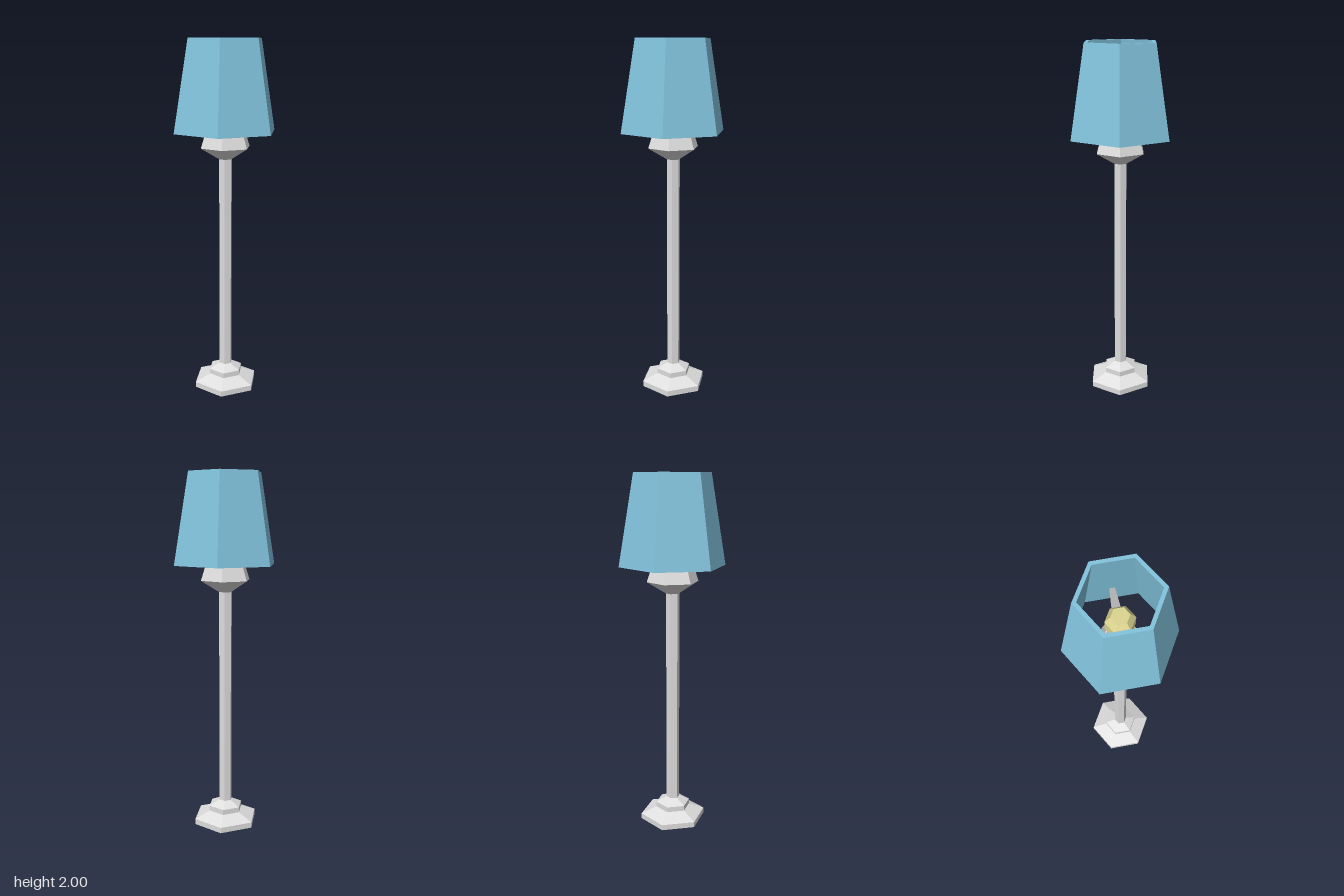
import * as THREE from 'three';

const SIDES = 6;

function material(name, color) {
  const m = new THREE.MeshStandardMaterial({ color });
  m.name = name;
  return m;
}

// Faceted six-sided solid from a [radius, height] profile, with corners on the x axis
function hexLathe(name, profile, mat) {
  const points = profile.map(([r, y]) => new THREE.Vector2(r, y));
  const geometry = new THREE.LatheGeometry(points, SIDES, Math.PI / 2).toNonIndexed();
  geometry.computeVertexNormals();
  const mesh = new THREE.Mesh(geometry, mat);
  mesh.name = name;
  return mesh;
}

export function createModel() {
  const metal = material('light grey metal', 0xdedede);
  const strutMetal = material('grey strut', 0xb2b2b2);
  const fabric = material('blue shade', 0x82c4de);
  const glow = material('yellow bulb', 0xdcd590);

  const lamp = new THREE.Group();
  lamp.name = 'floorLamp';

  // Two-tier foot
  lamp.add(hexLathe('base', [
    [0, 0], [0.19, 0], [0.19, 0.032], [0.1, 0.07], [0.1, 0.1], [0.038, 0.13], [0, 0.13],
  ], metal));

  // Pole
  lamp.add(hexLathe('pole', [[0.038, 0.12], [0.038, 1.37]], metal));

  // Holder flaring out, then tapering up inside the shade
  lamp.add(hexLathe('bulbHolder', [
    [0, 1.355], [0.038, 1.355], [0.145, 1.42], [0.072, 1.64], [0, 1.64],
  ], metal));

  // Bulb with chamfered ends
  lamp.add(hexLathe('bulb', [
    [0, 1.64], [0.047, 1.64], [0.075, 1.68], [0.075, 1.75], [0.047, 1.79], [0, 1.79],
  ], glow));

  // Hollow shade, open at top and bottom
  lamp.add(hexLathe('shade', [
    [0.298, 1.505], [0.212, 2], [0.19, 2], [0.276, 1.505], [0.298, 1.505],
  ], fabric));

  // Three tapering struts from the holder to flat sides of the shade
  const outline = new THREE.Shape([
    new THREE.Vector2(-0.028, 0.03), new THREE.Vector2(0.028, 0.03),
    new THREE.Vector2(0.014, 0.222), new THREE.Vector2(-0.014, 0.222),
  ]);
  const strutGeometry = new THREE.ExtrudeGeometry(outline, { depth: 0.02, bevelEnabled: false });
  strutGeometry.rotateX(-Math.PI / 2);
  for (let i = 0; i < 3; i++) {
    const strut = new THREE.Mesh(strutGeometry, strutMetal);
    strut.name = 'shadeStrut';
    strut.position.y = 1.635;
    strut.rotation.y = (i * Math.PI * 2) / 3;
    lamp.add(strut);
  }

  return lamp;
}
